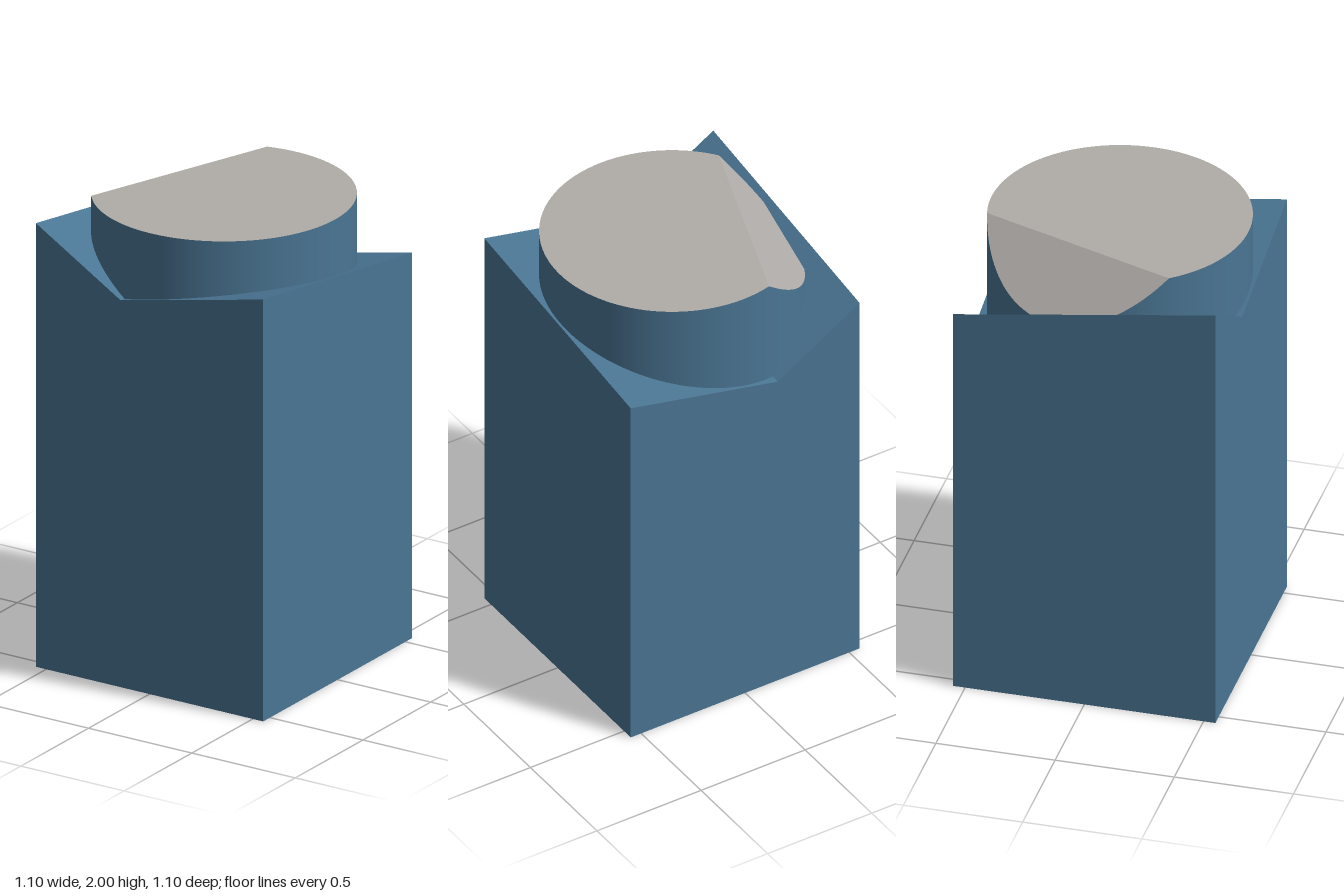
import * as THREE from 'three';

const H = 0.55, R = 0.538, TOP = 2;

// Height rules: two roof slopes meeting in a valley, and the 45 degree cut
const rightSlope = (x, z) => 1.835 + 0.22 * (x - H) + 0.143 * (z - H);
const leftSlope = (x, z) => 1.93 - 0.602 * (x + H) + 0.154 * (z - H);
const roof = (x, z) => Math.max(rightSlope(x, z), leftSlope(x, z));
const cut = (x, z) => TOP + 0.943 * (x + 0.43) + 0.333 * (z - 0.32);

// Keep the part of a convex [x, z] outline where f >= 0
function clip(points, f) {
  const out = [];
  points.forEach((a, i) => {
    const b = points[(i + 1) % points.length];
    const fa = f(...a), fb = f(...b);
    if (fa >= 0) out.push(a);
    if (fa * fb < 0) {
      const t = fa / (fa - fb);
      out.push([a[0] + t * (b[0] - a[0]), a[1] + t * (b[1] - a[1])]);
    }
  });
  return out;
}

// Flat faces, each a fan from its first corner, counter-clockwise from outside
function faces(polygons) {
  const pos = [];
  for (const p of polygons)
    for (let i = 1; i < p.length - 1; i++) pos.push(...p[0], ...p[i], ...p[i + 1]);
  const geometry = new THREE.BufferGeometry();
  geometry.setAttribute('position', new THREE.Float32BufferAttribute(pos, 3));
  geometry.computeVertexNormals();
  return geometry;
}

const lift = (outline, height) => outline.map(([x, z]) => [x, height(x, z), z]);

export function createModel() {
  const group = new THREE.Group();
  const blue = new THREE.MeshStandardMaterial({ color: 0x4a7593 });
  blue.name = 'blue';
  const grey = new THREE.MeshStandardMaterial({ color: 0xb0aca8 });
  grey.name = 'warmGrey';
  const add = (name, geometry, material) => {
    const mesh = new THREE.Mesh(geometry, material);
    mesh.name = name;
    group.add(mesh);
  };

  // Square block with a tilted V-shaped top
  const valleyFront = [-0.14, H], valleyBack = [-0.155, -H];
  const fl = [-H, H], fr = [H, H], br = [H, -H], bl = [-H, -H];
  const up = (p) => [p[0], roof(...p), p[1]];
  const down = (p) => [p[0], 0, p[1]];
  add('block', faces([
    [up(valleyFront), up(fl), down(fl), down(fr), up(fr)],
    [up(valleyBack), up(br), down(br), down(bl), up(bl)],
    [up(fr), down(fr), down(br), up(br)],
    [up(bl), down(bl), down(fl), up(fl)],
    [fl, bl, br, fr].map(down),
    [valleyFront, fr, br, valleyBack].map(up),
    [fl, valleyFront, valleyBack, bl].map(up),
  ]), blue);

  // Round outline of the post
  const circle = [];
  for (let i = 0; i < 192; i++) {
    const a = (i / 192) * Math.PI * 2;
    circle.push([R * Math.cos(a), -R * Math.sin(a)]);
  }
  const above = (x, z) => cut(x, z) - roof(x, z);
  const rim = clip(circle, above);

  // Smooth post wall, from just below the roof up to the cap or the cut
  const pos = [], normal = [], index = [];
  rim.forEach(([x, z], i) => {
    const r = Math.hypot(x, z), j = (i + 1) % rim.length;
    pos.push(x, roof(x, z) - 0.01, z, x, Math.min(TOP, cut(x, z)), z);
    normal.push(x / r, 0, z / r, x / r, 0, z / r);
    index.push(2 * i, 2 * j, 2 * j + 1, 2 * i, 2 * j + 1, 2 * i + 1);
  });
  const wall = new THREE.BufferGeometry();
  wall.setAttribute('position', new THREE.Float32BufferAttribute(pos, 3));
  wall.setAttribute('normal', new THREE.Float32BufferAttribute(normal, 3));
  wall.setIndex(index);
  add('postWall', wall, blue);

  // Level cap and the slanted face beside it
  add('postCap', faces([lift(clip(rim, (x, z) => cut(x, z) - TOP), () => TOP)]), grey);
  add('postBevel', faces([lift(clip(rim, (x, z) => TOP - cut(x, z)), cut)]), grey);

  return group;
}
